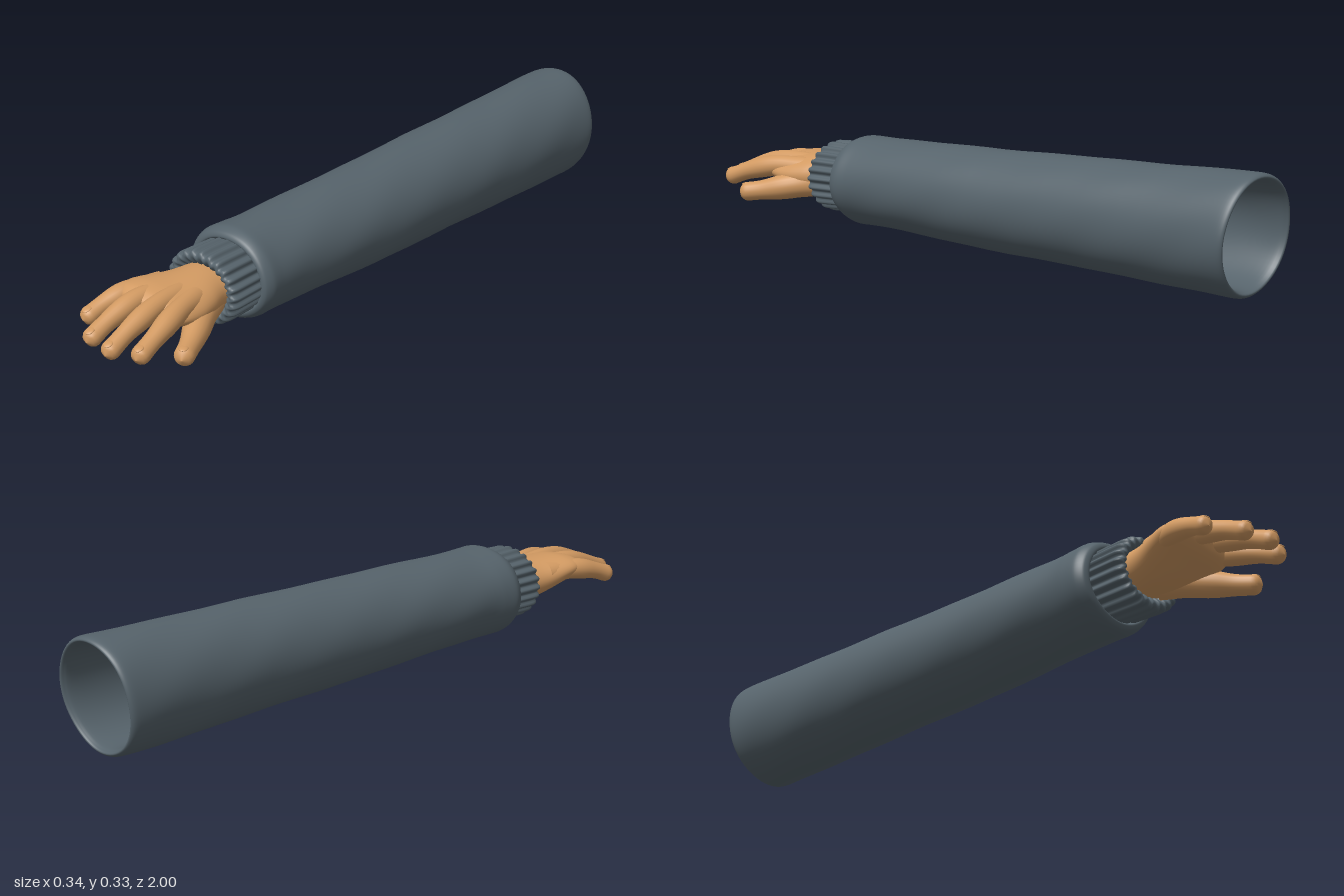
import * as THREE from 'three';
import { mergeVertices } from 'three/addons/utils/BufferGeometryUtils.js';

// Weld the seam and smooth the shading.
function smooth(geo) {
  geo.deleteAttribute('uv');
  geo.deleteAttribute('normal');
  const g = mergeVertices(geo, 1e-5);
  g.computeVertexNormals();
  return g;
}

// Skin a smooth surface over elliptical sections [x, y, z, rx, ry]; warp may adjust each point.
function loft(sections, around, steps, warp) {
  const centres = new THREE.CatmullRomCurve3(sections.map(s => new THREE.Vector3(s[0], s[1], s[2])), false, 'catmullrom', 0.4);
  const radii = new THREE.CatmullRomCurve3(sections.map(s => new THREE.Vector3(s[3], s[4], 0)), false, 'catmullrom', 0.4);
  const pos = [], index = [];
  const rings = (sections.length - 1) * steps;
  for (let i = 0; i <= rings; i++) {
    const c = centres.getPoint(i / rings), r = radii.getPoint(i / rings);
    for (let j = 0; j < around; j++) {
      const a = j / around * Math.PI * 2;
      const p = new THREE.Vector3(c.x + Math.cos(a) * r.x, c.y + Math.sin(a) * r.y, c.z);
      if (warp) warp(p, c, a);
      pos.push(p.x, p.y, p.z);
      if (i < rings) {
        const k = (j + 1) % around, n = i * around;
        index.push(n + j, n + k, n + around + j, n + k, n + around + k, n + around + j);
      }
    }
  }
  const g = new THREE.BufferGeometry();
  g.setAttribute('position', new THREE.Float32BufferAttribute(pos, 3));
  g.setIndex(index);
  g.computeVertexNormals();
  return g;
}

// A tapered, round-tipped tube for a finger.
function fingerGeometry(points, r0, r1) {
  const curve = new THREE.CatmullRomCurve3(points.map(p => new THREE.Vector3(...p)));
  const n = 40, m = 20, length = curve.getLength();
  const g = new THREE.TubeGeometry(curve, n, 1, m, false);
  const pos = g.attributes.position, v = new THREE.Vector3();
  for (let i = 0; i <= n; i++) {
    const u = i / n, c = curve.getPointAt(u);
    let r = r0 + (r1 - r0) * u + 0.0015 * Math.cos(u * Math.PI * 4);
    const toTip = (1 - u) * length;
    if (toTip < r1) r *= Math.sqrt(Math.max(0.0004, 1 - (1 - toTip / r1) ** 2));
    for (let j = 0; j <= m; j++) {
      const k = i * (m + 1) + j;
      v.fromBufferAttribute(pos, k).sub(c).multiplyScalar(r).add(c);
      pos.setXYZ(k, v.x, v.y, v.z);
    }
  }
  return smooth(g);
}

export function createModel() {
  const model = new THREE.Group();
  const cloth = new THREE.MeshStandardMaterial({ color: 0x56636b });
  cloth.name = 'slate cloth';
  const skin = new THREE.MeshStandardMaterial({ color: 0xd29a62 });
  skin.name = 'skin';
  const add = (name, geo, mat, parent = model) => {
    const mesh = new THREE.Mesh(geo, mat);
    mesh.name = name;
    parent.add(mesh);
    return mesh;
  };

  // Sleeve: hollow lining, rolled rear rim, outer wall, and the hem tucked in at the wrist
  add('sleeve', loft([
    [-0.02, 0.18, 0.44, 0.001, 0.001],
    [-0.02, 0.18, 0.42, 0.10, 0.095],
    [-0.012, 0.173, 0, 0.118, 0.118],
    [-0.004, 0.168, -0.6, 0.124, 0.136],
    [-0.003, 0.168, -0.92, 0.127, 0.143],
    [-0.003, 0.168, -0.972, 0.134, 0.150],
    [-0.003, 0.168, -0.977, 0.143, 0.159],
    [-0.004, 0.168, -0.955, 0.151, 0.166],
    [-0.006, 0.168, -0.85, 0.153, 0.164],
    [-0.008, 0.170, -0.5, 0.152, 0.154],
    [-0.011, 0.172, 0, 0.150, 0.142],
    [-0.018, 0.177, 0.33, 0.145, 0.132],
    [-0.022, 0.178, 0.42, 0.147, 0.132],
    [-0.022, 0.178, 0.465, 0.149, 0.132],
    [-0.021, 0.178, 0.49, 0.139, 0.122],
    [-0.019, 0.178, 0.496, 0.122, 0.107],
    [-0.018, 0.178, 0.475, 0.108, 0.094],
  ], 64, 6, (p, c, a) => {
    // The rear opening is cut on a slant
    p.z -= 0.022 * Math.sin(a) * THREE.MathUtils.smoothstep(-c.z, 0.6, 0.95);
    // Gentle rumples in the cloth
    const w = 0.0015 * Math.sin(c.z * 17 + 2 * a) * Math.sin(3 * a + c.z * 5);
    p.x += w * Math.cos(a);
    p.y += w * Math.sin(a);
  }), cloth);

  // Ribbed cuff
  const ribs = 24;
  add('ribbedCuff', loft([
    [-0.016, 0.18, 0.465, 0.108, 0.092],
    [-0.016, 0.18, 0.48, 0.116, 0.099],
    [-0.016, 0.18, 0.53, 0.119, 0.101],
    [-0.016, 0.18, 0.585, 0.121, 0.102],
    [-0.016, 0.18, 0.602, 0.115, 0.097],
    [-0.016, 0.18, 0.605, 0.103, 0.085],
    [-0.016, 0.18, 0.595, 0.09, 0.07],
    [-0.016, 0.18, 0.57, 0.07, 0.05],
  ], ribs * 8, 3, (p, c, a) => {
    const k = 1 + 0.045 * Math.tanh(1.8 * Math.cos(a * ribs));
    p.x = c.x + (p.x - c.x) * k;
    p.y = c.y + (p.y - c.y) * k;
  }), cloth);

  // Hand
  const hand = new THREE.Group();
  hand.name = 'hand';
  model.add(hand);
  add('palm', loft([
    [-0.018, 0.18, 0.54, 0.086, 0.06],
    [-0.018, 0.18, 0.60, 0.090, 0.064],
    [-0.017, 0.181, 0.65, 0.103, 0.062],
    [-0.020, 0.186, 0.70, 0.115, 0.055],
    [-0.025, 0.193, 0.75, 0.120, 0.046],
    [-0.027, 0.196, 0.785, 0.112, 0.037],
    [-0.027, 0.196, 0.81, 0.080, 0.022],
    [-0.027, 0.196, 0.82, 0.001, 0.001],
  ], 48, 5, (p) => {
    // The thumb side sits lower
    p.y -= 0.12 * (p.x + 0.02) * THREE.MathUtils.smoothstep(p.z, 0.6, 0.75);
  }), skin, hand);

  // Fingers: path points, root radius, tip radius
  const fingers = {
    littleFinger: [[[-0.09, 0.197, 0.68], [-0.118, 0.202, 0.77], [-0.135, 0.188, 0.84], [-0.146, 0.162, 0.914]], 0.034, 0.024],
    ringFinger: [[[-0.045, 0.205, 0.70], [-0.055, 0.211, 0.79], [-0.061, 0.188, 0.89], [-0.062, 0.152, 0.983]], 0.032, 0.025],
    middleFinger: [[[0.0, 0.205, 0.70], [0.010, 0.211, 0.79], [0.018, 0.188, 0.90], [0.024, 0.150, 1.0]], 0.032, 0.025],
    indexFinger: [[[0.035, 0.195, 0.68], [0.062, 0.200, 0.77], [0.085, 0.180, 0.87], [0.100, 0.149, 0.966]], 0.034, 0.025],
    thumb: [[[0.02, 0.162, 0.61], [0.070, 0.146, 0.70], [0.115, 0.130, 0.78], [0.150, 0.119, 0.852]], 0.046, 0.026],
  };
  for (const [name, [points, r0, r1]] of Object.entries(fingers)) {
    add(name, fingerGeometry(points, r0, r1), skin, hand);
    // Small raised nail near the tip
    const tip = new THREE.Vector3(...points[3]);
    const dir = tip.clone().sub(new THREE.Vector3(...points[2])).normalize();
    const side = new THREE.Vector3(0, 1, 0).cross(dir).normalize();
    const up = dir.clone().cross(side);
    const nail = add(name + 'Nail', new THREE.SphereGeometry(1, 16, 10), skin, hand);
    nail.scale.set(0.013, 0.004, 0.015);
    nail.quaternion.setFromRotationMatrix(new THREE.Matrix4().makeBasis(side, up, dir));
    nail.position.copy(tip).addScaledVector(dir, -0.024).addScaledVector(up, r1 * 0.94);
  }
  return model;
}
